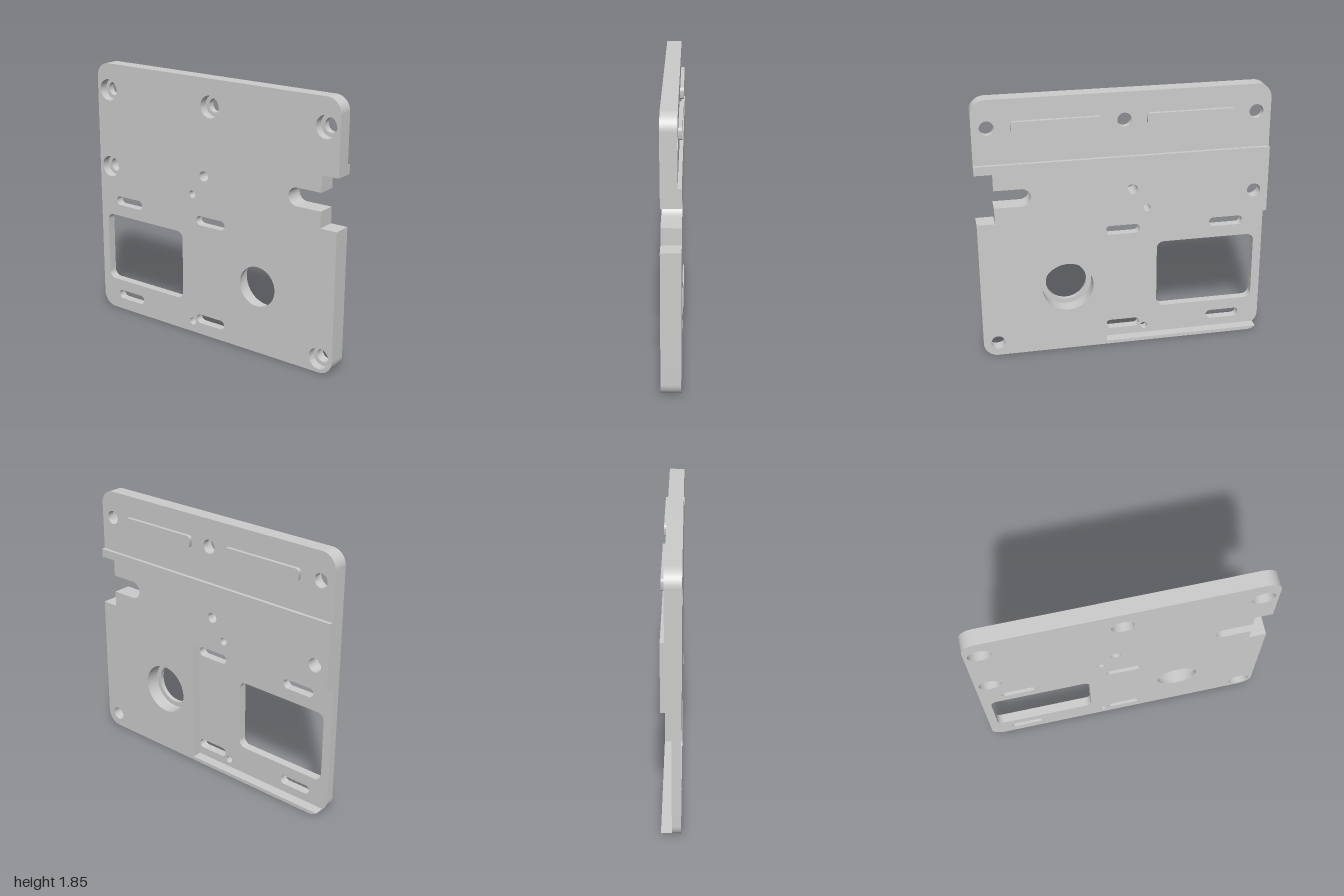
import * as THREE from 'three';
import { toCreasedNormals } from 'three/addons/utils/BufferGeometryUtils.js';

const HEIGHT = 1.85, R = 0.1;
const STEP_Y = 1.41;                                   // top of the thick zone
const POCKET = { x: 0.13, bottom: 0.025, top: 0.94 };  // rear recess, open at -x
const Z = { back: -0.065, step: -0.04, floor: 0.005, lip: 0.035, front: 0.065 };

const screws = [[-0.9, 1.66], [0, 1.66], [0.9, 1.66], [-0.9, 1.1], [0.9, 0.1]];
const pins = [[-0.05, 1.175, 0.036], [-0.15, 1.03, 0.026], [-0.15, 0.08, 0.026]];
const slots = [[-0.73, 0.852], [0.005, 0.852], [-0.73, 0.117], [0.005, 0.117]];

function circle(x, y, r) {
  const p = new THREE.Path();
  p.absarc(x, y, r, 0, Math.PI * 2, true);
  return p;
}

function roundRect(x0, y0, x1, y1, r, Type = THREE.Path) {
  const p = new Type(), q = Math.PI / 2;
  p.absarc(x0 + r, y0 + r, r, 2 * q, 3 * q);
  p.absarc(x1 - r, y0 + r, r, 3 * q, 4 * q);
  p.absarc(x1 - r, y1 - r, r, 0, q);
  p.absarc(x0 + r, y1 - r, r, q, 2 * q);
  p.closePath();
  return p;
}

// Plate silhouette with the side notch; optionally cut by the pocket or the step
function outline(withPocket, withStep) {
  const s = new THREE.Shape(), q = Math.PI / 2;
  const start = withPocket ? Math.PI + Math.asin((R - POCKET.bottom) / R) : Math.PI;
  s.absarc(-1 + R, R, R, start, 3 * q);
  s.absarc(1 - R, R, R, 3 * q, 4 * q);
  s.lineTo(1, 1.0);
  s.lineTo(0.88, 1.0);
  s.lineTo(0.88, 1.112);
  s.absarc(0.697, 1.174, 0.062, 3 * q, q, true);
  s.lineTo(0.88, 1.236);
  s.lineTo(0.88, 1.35);
  s.lineTo(1, 1.35);
  if (withStep) {
    s.lineTo(1, STEP_Y);
    s.lineTo(-1, STEP_Y);
  } else {
    s.absarc(1 - R, HEIGHT - R, R, 0, q);
    s.absarc(-1 + R, HEIGHT - R, R, q, 2 * q);
  }
  if (withPocket) {
    s.lineTo(-1, POCKET.top);
    s.lineTo(POCKET.x, POCKET.top);
    s.lineTo(POCKET.x, POCKET.bottom);
  }
  s.closePath();
  return s;
}

function slab(name, shape, z0, z1, material) {
  const g = new THREE.ExtrudeGeometry(shape, { depth: z1 - z0, bevelEnabled: false, curveSegments: 20 });
  g.translate(0, 0, z0);
  const mesh = new THREE.Mesh(toCreasedNormals(g, Math.PI / 6), material);
  mesh.name = name;
  return mesh;
}

// One layer of the plate with all the openings that pass through it
function layer(name, z0, z1, { pocket = false, step = false, screwR, boreR }, material) {
  const s = outline(pocket, step);
  const inPocket = (x, y) => pocket && x < POCKET.x && y < POCKET.top;
  for (const [x, y] of screws) if (!step || y < STEP_Y) s.holes.push(circle(x, y, screwR));
  for (const [x, y, r] of pins) if (!inPocket(x, y)) s.holes.push(circle(x, y, r));
  s.holes.push(circle(0.4, 0.483, boreR));
  if (!pocket) {
    for (const [x, y] of slots) s.holes.push(roundRect(x - 0.12, y - 0.033, x + 0.12, y + 0.033, 0.032));
    s.holes.push(roundRect(-0.94, 0.23, -0.24, 0.735, 0.05));
  }
  return slab(name, s, z0, z1, material);
}

export function createModel() {
  const group = new THREE.Group();
  group.name = 'mountingPlate';
  const grey = new THREE.MeshStandardMaterial({ color: 0xcccccc });

  group.add(
    layer('frontFace', Z.lip, Z.front, { screwR: 0.076, boreR: 0.142 }, grey),
    layer('pocketFloor', Z.floor, Z.lip, { screwR: 0.076, boreR: 0.177 }, grey),
    layer('rearBody', Z.step, Z.floor, { pocket: true, screwR: 0.048, boreR: 0.177 }, grey),
    layer('rearRaisedFace', Z.back, Z.step, { pocket: true, step: true, screwR: 0.048, boreR: 0.177 }, grey)
  );

  // Locating ribs on the thin upper part of the back
  for (const side of [-1, 1]) {
    const rib = roundRect(side * 0.45 - 0.298, 1.62, side * 0.45 + 0.298, 1.7, 0.02, THREE.Shape);
    group.add(slab(side > 0 ? 'leftRib' : 'rightRib', rib, Z.back, Z.step, grey));
  }
  return group;
}
